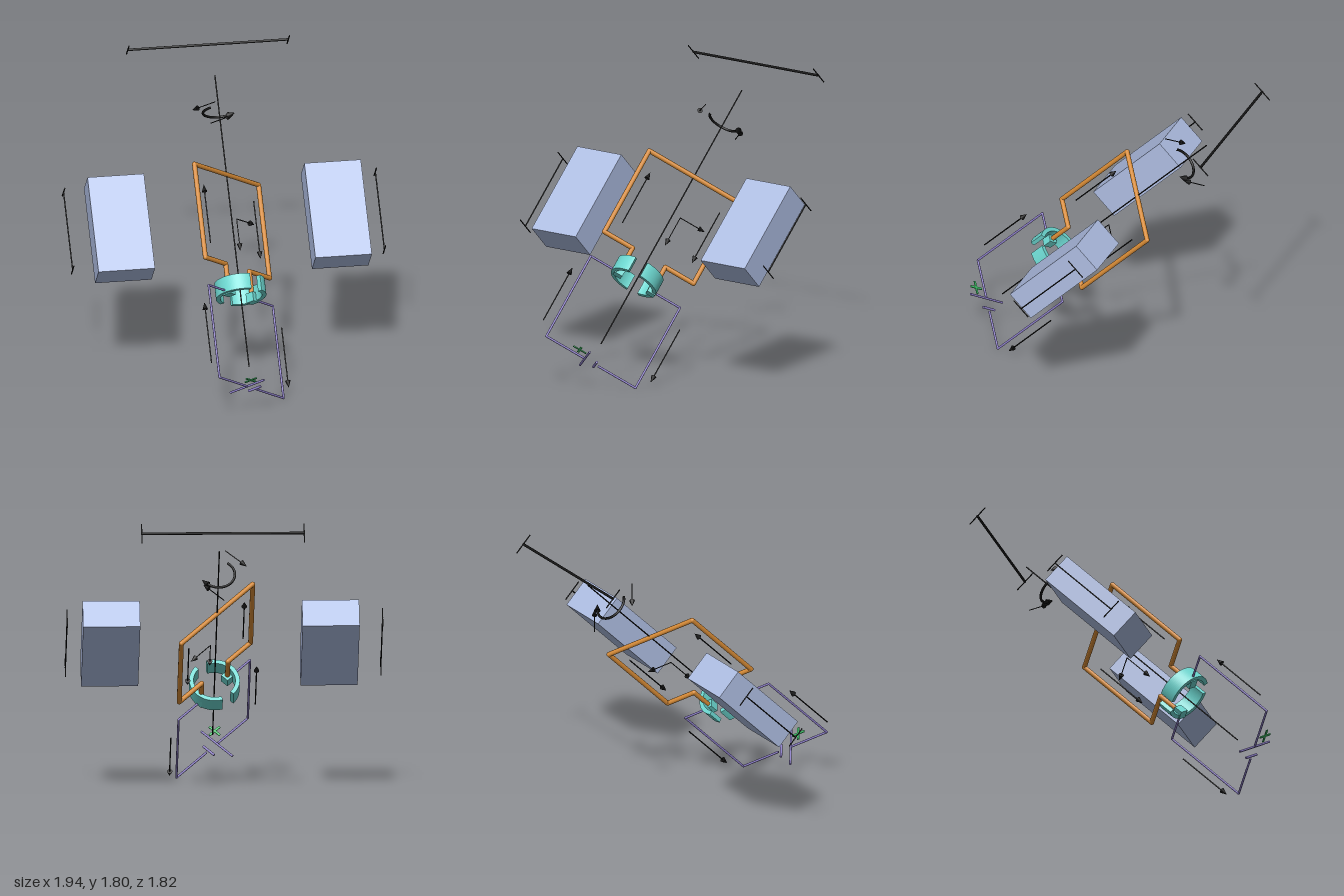
import * as THREE from 'three';

const mat = (color) => new THREE.MeshStandardMaterial({ color });
const magnetMat = mat(0xaebde2), copper = mat(0xd68a35), teal = mat(0x6cd6cf);
const wireMat = mat(0x8a7cc4), black = mat(0x151515), green = mat(0x3fc46a);
const UP = new THREE.Vector3(0, 1, 0);

function add(parent, name, geometry, material, x = 0, y = 0, z = 0) {
  const mesh = new THREE.Mesh(geometry, material);
  mesh.name = name;
  mesh.position.set(x, y, z);
  parent.add(mesh);
  return mesh;
}

// Round bar between two points
function rod(parent, name, a, b, r, material, sides = 10) {
  const p = new THREE.Vector3(...a), q = new THREE.Vector3(...b);
  const mesh = add(parent, name, new THREE.CylinderGeometry(r, r, p.distanceTo(q), sides), material);
  mesh.position.copy(p).lerp(q, 0.5);
  mesh.quaternion.setFromUnitVectors(UP, q.sub(p).normalize());
  return mesh;
}

// Chain of bars with rounded corners
function chain(parent, name, points, r, material) {
  const group = new THREE.Group();
  group.name = name;
  parent.add(group);
  points.forEach((p, i) => {
    if (i) rod(group, name + 'Bar', points[i - 1], p, r, material);
    if (i && i < points.length - 1) add(group, name + 'Corner', new THREE.SphereGeometry(r, 12, 8), material, ...p);
  });
}

// Thin shaft with a cone at its far end
function arrow(parent, name, a, b, r = 0.004) {
  const group = new THREE.Group();
  group.name = name;
  parent.add(group);
  const p = new THREE.Vector3(...a), q = new THREE.Vector3(...b);
  const dir = q.clone().sub(p).normalize();
  const neck = q.clone().addScaledVector(dir, -0.04);
  rod(group, 'arrowShaft', a, neck.toArray(), r, black, 6);
  const head = add(group, 'arrowHead', new THREE.ConeGeometry(0.017, 0.045, 12), black);
  head.position.copy(q).addScaledVector(dir, -0.0225);
  head.quaternion.setFromUnitVectors(UP, dir);
}

// Dimension line with a tick across each end
function dimension(parent, name, a, b, r, tick) {
  const group = new THREE.Group();
  group.name = name;
  parent.add(group);
  rod(group, 'dimensionLine', a, b, r, black, 8);
  for (const [x, y, z] of [a, b]) rod(group, 'dimensionTick', [x, y, z - tick], [x, y, z + tick], 0.004, black, 6);
}

// Half ring lying across the axis, angles in degrees from +x toward +z
function ringSegment(parent, name, from, to, inner, outer, height) {
  const a = THREE.MathUtils.degToRad(from), b = THREE.MathUtils.degToRad(to);
  const shape = new THREE.Shape();
  shape.absarc(0, 0, outer, a, b, false);
  shape.absarc(0, 0, inner, b, a, true);
  const geometry = new THREE.ExtrudeGeometry(shape, { depth: height, bevelEnabled: false, curveSegments: 24 });
  geometry.translate(0, 0, -height / 2).rotateX(Math.PI / 2);
  return add(parent, name, geometry, teal, 0, 0.222, 0.012);
}

export function createModel() {
  const root = new THREE.Group();
  root.name = 'electricMotorDiagram';

  // Tilted frame: local y runs along the rotation axis
  const motor = new THREE.Group();
  motor.name = 'tiltedMotor';
  motor.position.set(0.045, 0.46, 0.46);
  motor.rotation.x = -Math.PI / 4;
  root.add(motor);
  rod(motor, 'rotationAxis', [0, -0.28, 0], [0, 1.63, 0], 0.004, black, 8);

  // Magnets and their height dimensions
  for (const [side, x, lineX] of [['right', -0.697, -1.015], ['left', 0.647, 0.917]]) {
    add(motor, side + 'Magnet', new THREE.BoxGeometry(0.35, 0.62, 0.196), magnetMat, x, 0.675, 0);
    dimension(motor, side + 'HeightDimension', [lineX, 0.425, 0], [lineX, 0.935, 0], 0.004, 0.068);
  }
  dimension(motor, 'gapDimension', [-0.515, 1.838, -0.014], [0.48, 1.838, -0.014], 0.008, 0.07);

  // Coil plane, turned 45 degrees about the axis
  const plane = new THREE.Group();
  plane.name = 'coilPlane';
  plane.rotation.y = Math.PI / 4;
  motor.add(plane);

  chain(plane, 'coil', [
    [-0.116, 0.2, 0], [-0.116, 0.37, 0], [-0.316, 0.37, 0], [-0.316, 0.98, 0],
    [0.316, 0.98, 0], [0.316, 0.37, 0], [0.116, 0.37, 0], [0.116, 0.2, 0],
  ], 0.015, copper);

  for (const s of [-1, 1]) {
    // Contact block and circuit wire on each side
    add(plane, 'contactBlock', new THREE.BoxGeometry(0.055, 0.06, 0.055), teal, s * 0.116, 0.195, 0);
    chain(plane, 'circuitWire', [
      [s * 0.15, 0.187, 0], [s * 0.316, 0.187, 0], [s * 0.316, -0.417, 0], [s * 0.05, -0.417, 0],
    ], 0.007, wireMat);
    // Current direction arrows, up on one side and down on the other
    const flow = (name, x, low, high) => {
      const ends = [[x, low, 0], [x, high, 0]];
      arrow(plane, name, ...(s < 0 ? ends : ends.reverse()));
    };
    flow('coilCurrentArrow', s * 0.246, 0.48, 0.86);
    flow('circuitCurrentArrow', s * 0.38, -0.335, 0.06);
  }

  // Split ring commutator
  ringSegment(motor, 'rightCommutatorHalf', 72, 222, 0.128, 0.155, 0.1);
  ringSegment(motor, 'leftCommutatorHalf', 252, 402, 0.128, 0.155, 0.1);

  // Battery plates
  rod(plane, 'longBatteryPlate', [-0.043, -0.417, -0.133], [-0.043, -0.417, 0.133], 0.007, wireMat);
  rod(plane, 'shortBatteryPlate', [0.03, -0.417, -0.047], [0.03, -0.417, 0.047], 0.008, wireMat);

  // Polarity cross
  for (const turn of [1, -1]) {
    const bar = add(motor, 'polarityCross', new THREE.BoxGeometry(0.09, 0.006, 0.014), green, -0.018, -0.413, 0.124);
    bar.rotation.y = turn * Math.PI / 4;
  }

  // Field and moment arrows inside the coil
  arrow(plane, 'fieldArrow', [0.05, 0.7, 0], [0.225, 0.7, 0], 0.003);
  arrow(plane, 'momentArrow', [0.05, 0.7, 0], [0.05, 0.49, 0], 0.003);

  // Turning arrow around the axis with two force arrows
  const arc = [];
  for (let i = 0; i <= 16; i++) {
    const t = THREE.MathUtils.degToRad(125 + (190 * i) / 16);
    arc.push(new THREE.Vector3(0.1 * Math.cos(t), 1.393, 0.1 * Math.sin(t)));
  }
  add(motor, 'turningArc', new THREE.TubeGeometry(new THREE.CatmullRomCurve3(arc), 32, 0.008, 8), black);
  const tip = add(motor, 'turningArcHead', new THREE.ConeGeometry(0.02, 0.05, 12), black, 0.085, 1.393, -0.06);
  tip.quaternion.setFromUnitVectors(UP, new THREE.Vector3(0.707, 0, 0.707));
  arrow(motor, 'turningForceArrow', [-0.045, 1.393, 0.177], [-0.175, 1.393, 0.057], 0.003);
  arrow(motor, 'turningForceArrow', [-0.03, 1.393, -0.198], [0.095, 1.393, -0.079], 0.003);

  return root;
}
